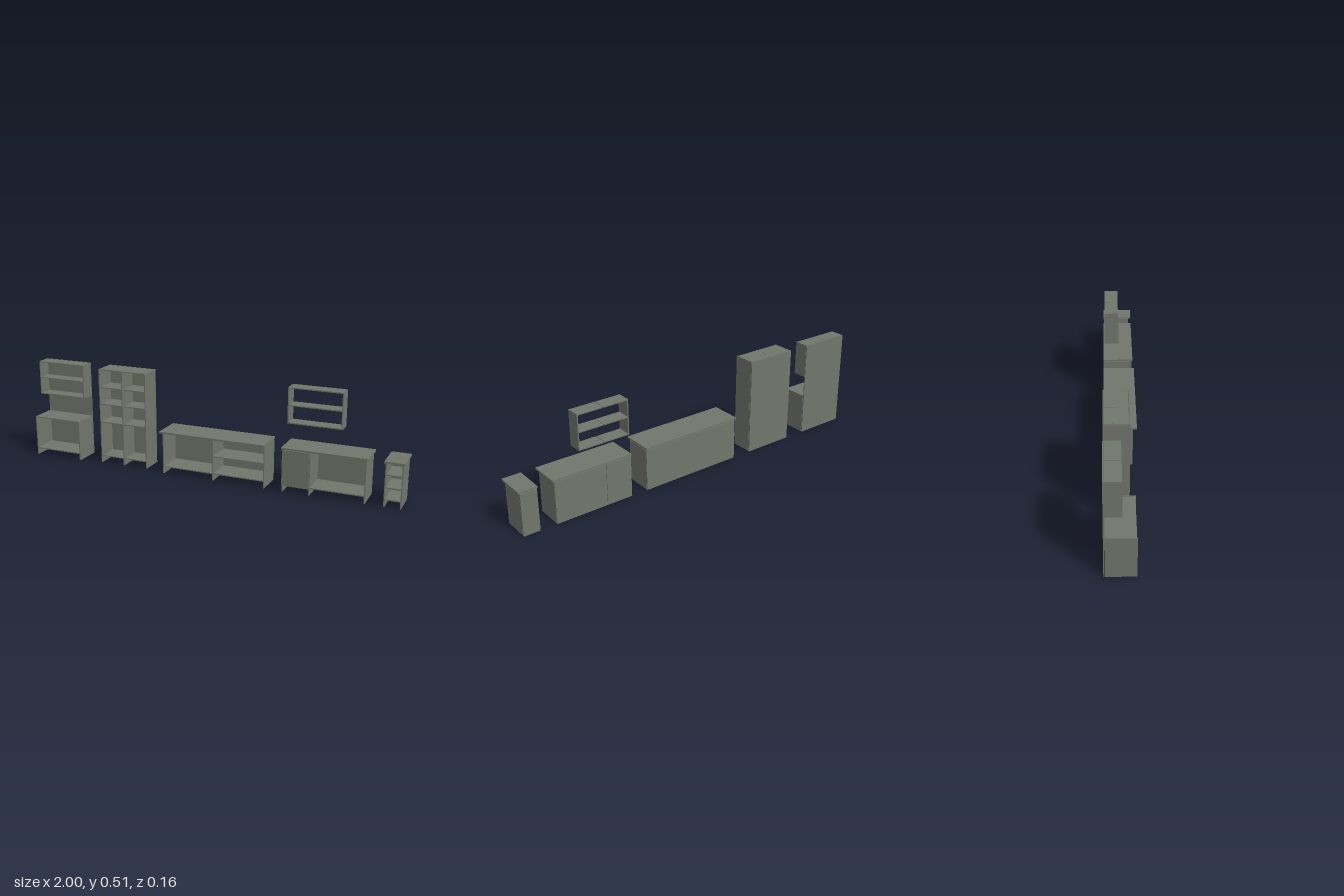
import * as THREE from 'three';

const T = 0.0055;      // panel thickness
const BACK = -0.073;   // rear edge of the carcasses
const FRONT = 0.063;   // front edge of the base cabinets

const board = new THREE.MeshStandardMaterial({ color: 0x71776c });
board.name = 'grey green board';

// box given by its two opposite corners
function panel(group, name, x0, x1, y0, y1, z0, z1) {
  const mesh = new THREE.Mesh(new THREE.BoxGeometry(x1 - x0, y1 - y0, z1 - z0), board);
  mesh.position.set((x0 + x1) / 2, (y0 + y1) / 2, (z0 + z1) / 2);
  mesh.name = name;
  group.add(mesh);
}

// upright panels, each centred on its x
function uprights(group, xs, y0, y1, front) {
  xs.forEach(x => panel(group, 'upright', x - T / 2, x + T / 2, y0, y1, BACK, front));
}

// horizontal boards centred on the given heights, between two uprights
function shelves(group, x0, x1, ys, front) {
  const gap = T / 2 + 0.0005;
  ys.forEach(y => panel(group, 'shelf', x0 + gap, x1 - gap, y - T / 2, y + T / 2, BACK, front - 0.003));
}

// back panel standing just behind the carcass
function backPanel(group, x0, x1, height) {
  panel(group, 'backPanel', x0, x1, 0, height, -0.0805, -0.075);
}

function unit(parent, name) {
  const group = new THREE.Group();
  group.name = name;
  parent.add(group);
  return group;
}

// open shelf box whose boards are split in the middle
function shelfBox(group, x0, x1) {
  const mid = (x0 + x1) / 2, a = x0 + T / 2, b = x1 - T / 2;
  uprights(group, [a, b], 0.327, 0.508, 0);
  for (const y of [0.33, 0.418, 0.505]) {
    panel(group, 'shelf', x0 + T, mid - 0.001, y - T / 2, y + T / 2, BACK, -0.002);
    panel(group, 'shelf', mid + 0.001, x1 - T, y - T / 2, y + T / 2, BACK, -0.002);
  }
}

export function createModel() {
  const model = new THREE.Group();
  model.name = 'cabinetRow';

  // base cabinet with tall back and hutch
  const hutch = unit(model, 'hutchCabinet');
  uprights(hutch, [-0.997, -0.730], 0, 0.215, FRONT);
  shelves(hutch, -0.997, -0.730, [0.036, 0.212], FRONT);
  backPanel(hutch, -1, -0.727, 0.508);
  shelfBox(hutch, -1, -0.727);

  // tall bookcase with two columns
  const bookcase = unit(model, 'bookcase');
  const bx = [-0.607, -0.474, -0.341];
  uprights(bookcase, bx, 0, 0.508, 0.039);
  for (let i = 0; i < 2; i++)
    shelves(bookcase, bx[i], bx[i + 1], [0.036, 0.222, 0.32, 0.41, 0.505], 0.037);
  backPanel(bookcase, -0.61, -0.338, 0.508);

  // wide sideboard, shelf in the right-hand bay
  const sideboard = unit(model, 'sideboard');
  const sx = [-0.228, 0.046, 0.318];
  uprights(sideboard, sx, 0, 0.216, FRONT);
  shelves(sideboard, sx[0], sx[1], [0.036], FRONT);
  shelves(sideboard, sx[1], sx[2], [0.036, 0.127], FRONT);
  backPanel(sideboard, -0.231, 0.045, 0.216);
  backPanel(sideboard, 0.047, 0.321, 0.216);
  panel(sideboard, 'countertop', -0.241, 0.322, 0.219, 0.228, -0.081, 0.082);

  // counter cabinet with one closed bay
  const counter = unit(model, 'counterCabinet');
  const cx = [0.414, 0.549, 0.819];
  uprights(counter, cx, 0, 0.216, FRONT);
  for (let i = 0; i < 2; i++) shelves(counter, cx[i], cx[i + 1], [0.036], FRONT);
  backPanel(counter, 0.411, 0.548, 0.216);
  backPanel(counter, 0.550, 0.822, 0.216);
  panel(counter, 'door', 0.412, 0.547, 0.033, 0.215, 0.066, 0.0715);
  panel(counter, 'countertop', 0.408, 0.831, 0.219, 0.228, -0.081, 0.077);

  // wall shelf above the counter
  shelfBox(unit(model, 'wallShelf'), 0.411, 0.683);

  // narrow shelf cabinet
  const narrow = unit(model, 'narrowCabinet');
  uprights(narrow, [0.911, 0.989], 0, 0.216, FRONT);
  shelves(narrow, 0.911, 0.989, [0.036, 0.095, 0.157], FRONT);
  backPanel(narrow, 0.908, 0.992, 0.216);
  panel(narrow, 'countertop', 0.904, 1, 0.219, 0.228, -0.081, 0.077);

  return model;
}
